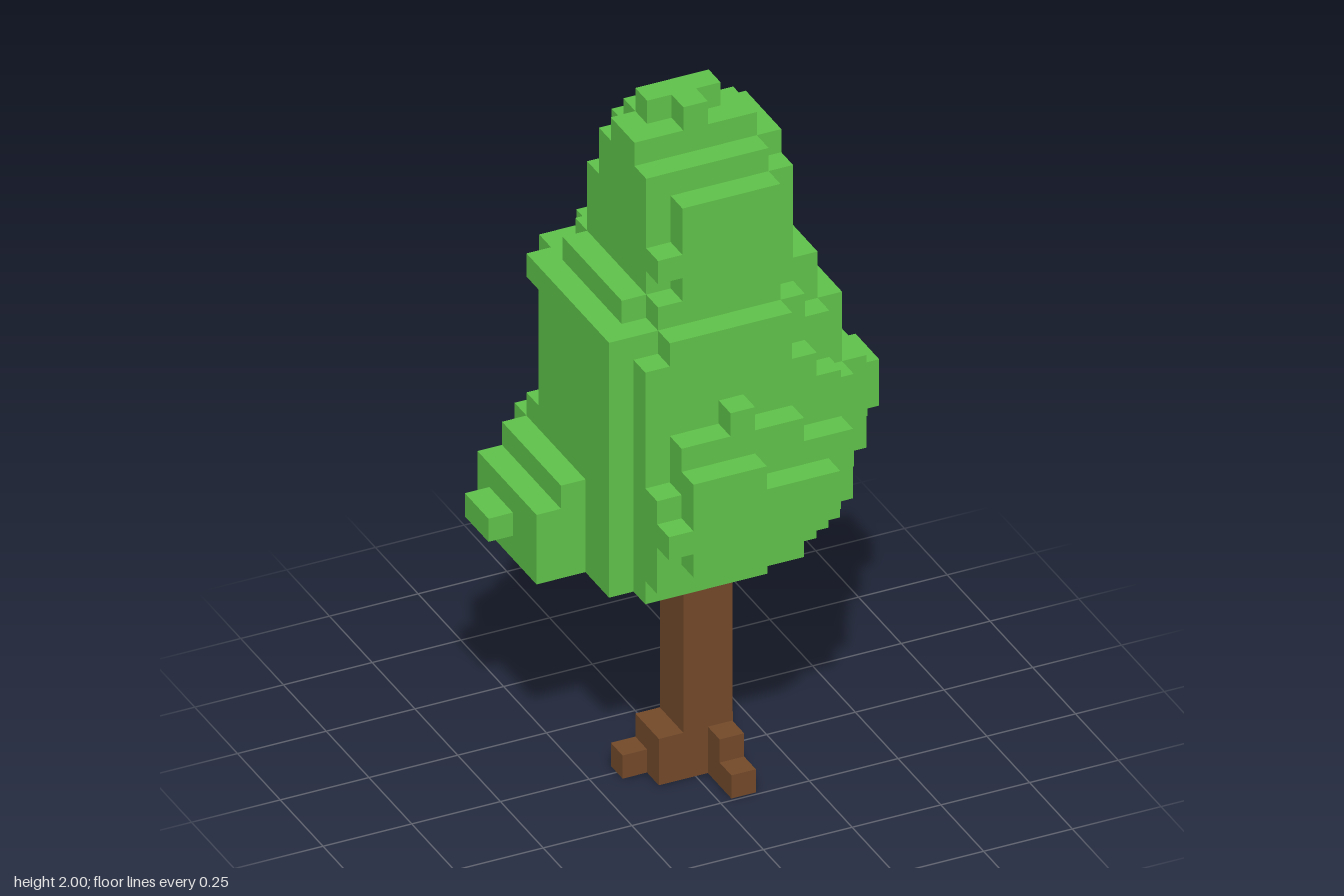
import * as THREE from 'three';

// Voxel grid: 15 x 29 x 13 cells, the tallest side is 2 units
const U = 2 / 29, NX = 15, NZ = 13;
const CX = 8, CZ = 7; // trunk axis in cells

// Crown layers from y cell 10 upward: [xMin, xMax, zMin, zMax]
const LAYERS = [
  [1, 12, 2, 11], [0, 13, 2, 12], [1, 13, 2, 13], [2, 15, 1, 13], [3, 15, 0, 13],
  [3, 15, 1, 13], [3, 14, 2, 12], [3, 13, 2, 12], [3, 13, 2, 11], [3, 13, 2, 11],
  [3, 12, 1, 11], [4, 12, 2, 10], [5, 11, 2, 10], [5, 11, 3, 10], [5, 11, 3, 10],
  [5, 11, 4, 10], [5, 11, 4, 9], [5, 10, 5, 8], [6, 9, 6, 8],
];
// Plan outline of the crown: x range for each z row
const PLAN = [
  [7, 9], [6, 11], [2, 12], [1, 13], [0, 14], [0, 14], [1, 15],
  [1, 15], [3, 14], [3, 13], [4, 12], [4, 12], [4, 11],
];
// Trunk, roots and branch stub: x, y, z start, then sizes
const WOOD = [
  [7, 0, 6, 2, 10, 2],
  [5, 0, 6, 1, 1, 1], [6, 0, 6, 1, 2, 2],
  [8, 0, 8, 1, 1, 2], [8, 1, 8, 1, 1, 1],
  [8, 0, 5, 1, 2, 1], [9, 0, 4, 1, 1, 2],
  [6, 9, 6, 1, 1, 1], [4, 10, 5, 2, 1, 1],
];
// Notches in the front leaf steps, the side bump and the tip
const NOTCHES = [
  [4, 12, 12, 1, 1, 1], [4, 14, 12, 1, 2, 1], [8, 15, 12, 3, 1, 1],
  [4, 15, 11, 1, 3, 1], [5, 17, 11, 2, 1, 1], [8, 17, 11, 4, 1, 1], [10, 16, 11, 2, 1, 1],
  [14, 13, 7, 1, 1, 1], [6, 28, 7, 1, 1, 1], [8, 28, 7, 1, 1, 1],
];

const inBoxes = (boxes, x, y, z) => boxes.some(([a, b, c, w, h, d]) =>
  x >= a && x < a + w && y >= b && y < b + h && z >= c && z < c + d);
const isWood = (x, y, z) => inBoxes(WOOD, x, y, z);

// Squareness of each crown quadrant: boxier towards -x, tapering below towards +x
function squareness(dx, y, dz) {
  if (dx > 0) {
    if (y < 13) return y < 11 ? 1.3 : 1.8;
    return dz > 0 ? 2.3 : 2;
  }
  if (dz > 0) return y < 12 ? 2.4 : 3.3;
  return y < 14 ? 3.3 : 2.5;
}

// Rounded, slightly lumpy cross-section within each layer's limits
function isLeaf(x, y, z) {
  const layer = LAYERS[y - 10], row = PLAN[z];
  if (!layer || !row || isWood(x, y, z) || inBoxes(NOTCHES, x, y, z)) return false;
  const [x0, x1, z0, z1] = layer;
  if (x < Math.max(x0, row[0]) || x >= Math.min(x1, row[1]) || z < z0 || z >= z1) return false;
  const dx = x + 0.5 - CX, dz = z + 0.5 - CZ;
  const a = Math.abs(dx) / (dx < 0 ? CX - x0 : x1 - CX);
  const b = Math.abs(dz) / (dz < 0 ? CZ - z0 : z1 - CZ);
  const e = squareness(dx, y, dz);
  const lump = 0.1 * Math.sin(x * 2.3 + y * 1.1 + z * 1.7) * Math.min(1, 4 * a * b);
  return a ** e + b ** e < 1.02 + lump;
}

// Mesh of the exposed cell faces only
function voxelMesh(name, filled, material) {
  const pos = [], nor = [], idx = [];
  for (let y = 0; y < 29; y++) for (let z = 0; z < NZ; z++) for (let x = 0; x < NX; x++) {
    if (!filled(x, y, z)) continue;
    for (let axis = 0; axis < 3; axis++) for (const s of [-1, 1]) {
      const n = [0, 0, 0];
      n[axis] = s;
      if (filled(x + n[0], y + n[1], z + n[2])) continue;
      const u = (axis + 1) % 3, v = (axis + 2) % 3, base = pos.length / 3;
      for (const [p, q] of [[0, 0], [1, 0], [1, 1], [0, 1]]) {
        const c = [x, y, z];
        c[axis] += s > 0 ? 1 : 0;
        c[u] += p;
        c[v] += q;
        pos.push((c[0] - NX / 2) * U, c[1] * U, (c[2] - NZ / 2) * U);
        nor.push(...n);
      }
      const order = s > 0 ? [0, 1, 2, 0, 2, 3] : [0, 2, 1, 0, 3, 2];
      idx.push(...order.map((i) => base + i));
    }
  }
  const geometry = new THREE.BufferGeometry();
  geometry.setAttribute('position', new THREE.Float32BufferAttribute(pos, 3));
  geometry.setAttribute('normal', new THREE.Float32BufferAttribute(nor, 3));
  geometry.setIndex(idx);
  const mesh = new THREE.Mesh(geometry, material);
  mesh.name = name;
  return mesh;
}

export function createModel() {
  const leafGreen = new THREE.MeshStandardMaterial({ color: 0x60c44b });
  leafGreen.name = 'leafGreen';
  const barkBrown = new THREE.MeshStandardMaterial({ color: 0x744a2a });
  barkBrown.name = 'barkBrown';

  const tree = new THREE.Group();
  tree.name = 'tree';
  tree.add(voxelMesh('trunkAndRoots', isWood, barkBrown));
  tree.add(voxelMesh('crown', isLeaf, leafGreen));
  return tree;
}
